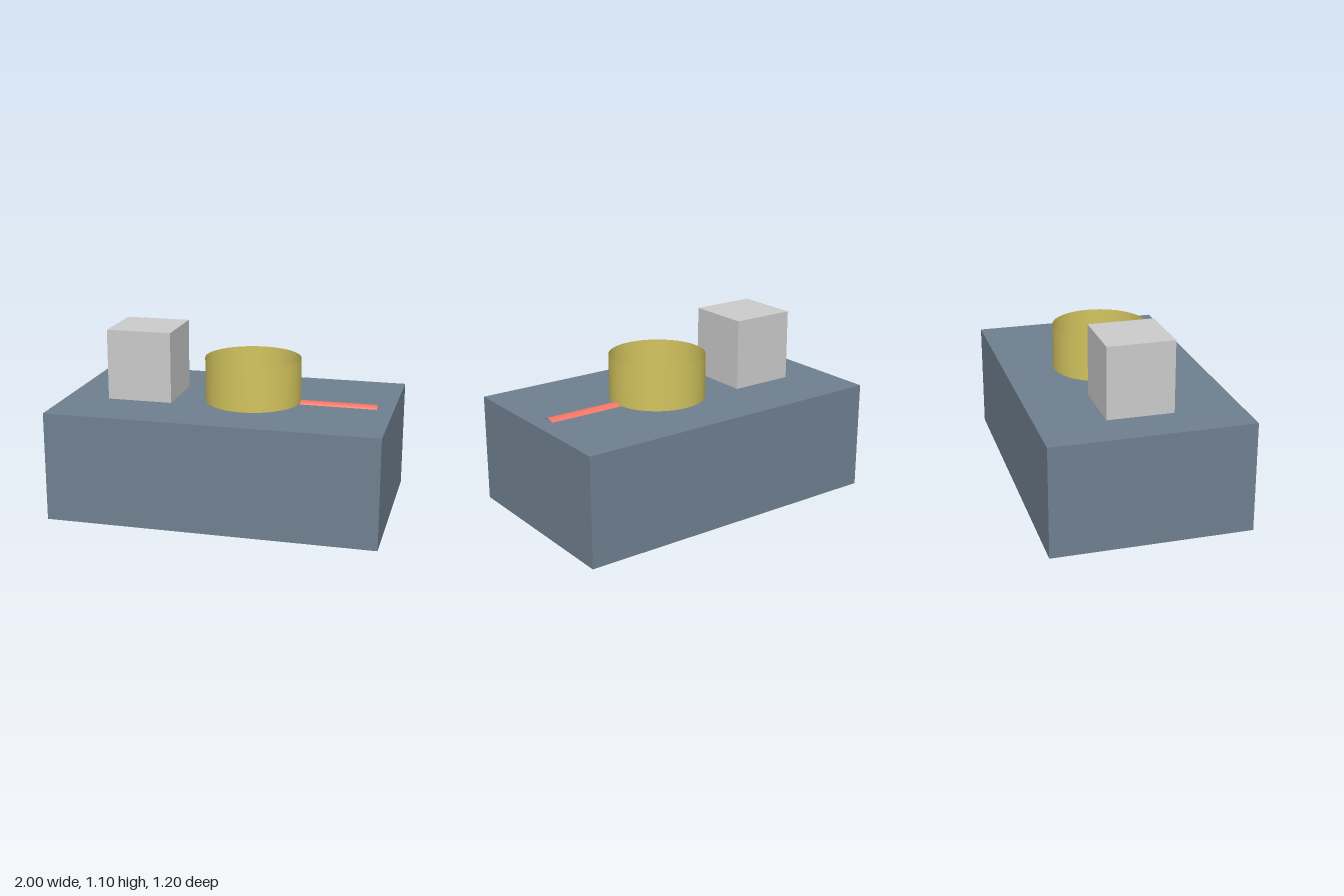
import * as THREE from 'three';

const DECK = 0.667; // height of the base's top face

export function createModel() {
  const model = new THREE.Group();

  const add = (name, geometry, color, x, y, side = THREE.FrontSide) => {
    const material = new THREE.MeshStandardMaterial({ color, side });
    const mesh = new THREE.Mesh(geometry, material);
    mesh.name = name;
    mesh.position.set(x, y, 0);
    model.add(mesh);
    return mesh;
  };

  // Solid rectangular base
  add('base', new THREE.BoxGeometry(2, DECK, 1.2), 0x708090, 0, DECK / 2);

  // Upright block at the right end
  const blockHeight = 0.433;
  add('block', new THREE.BoxGeometry(0.4, blockHeight, 0.4), 0xcccccc, -0.533, DECK + blockHeight / 2);

  // Thin open ring standing on the base
  const ringHeight = 0.267;
  add('ring', new THREE.CylinderGeometry(0.293, 0.293, ringHeight, 64, 1, true),
    0xd4c45e, 0.133, DECK + ringHeight / 2, THREE.DoubleSide);

  // Open rod lying along x, mostly sunk into the base
  const rodRadius = 0.058;
  const rod = add('rod', new THREE.CylinderGeometry(rodRadius, rodRadius, 0.467, 32, 1, true),
    0xf07565, 0.667, DECK + 0.017 - rodRadius, THREE.DoubleSide);
  rod.rotation.z = Math.PI / 2;

  return model;
}
